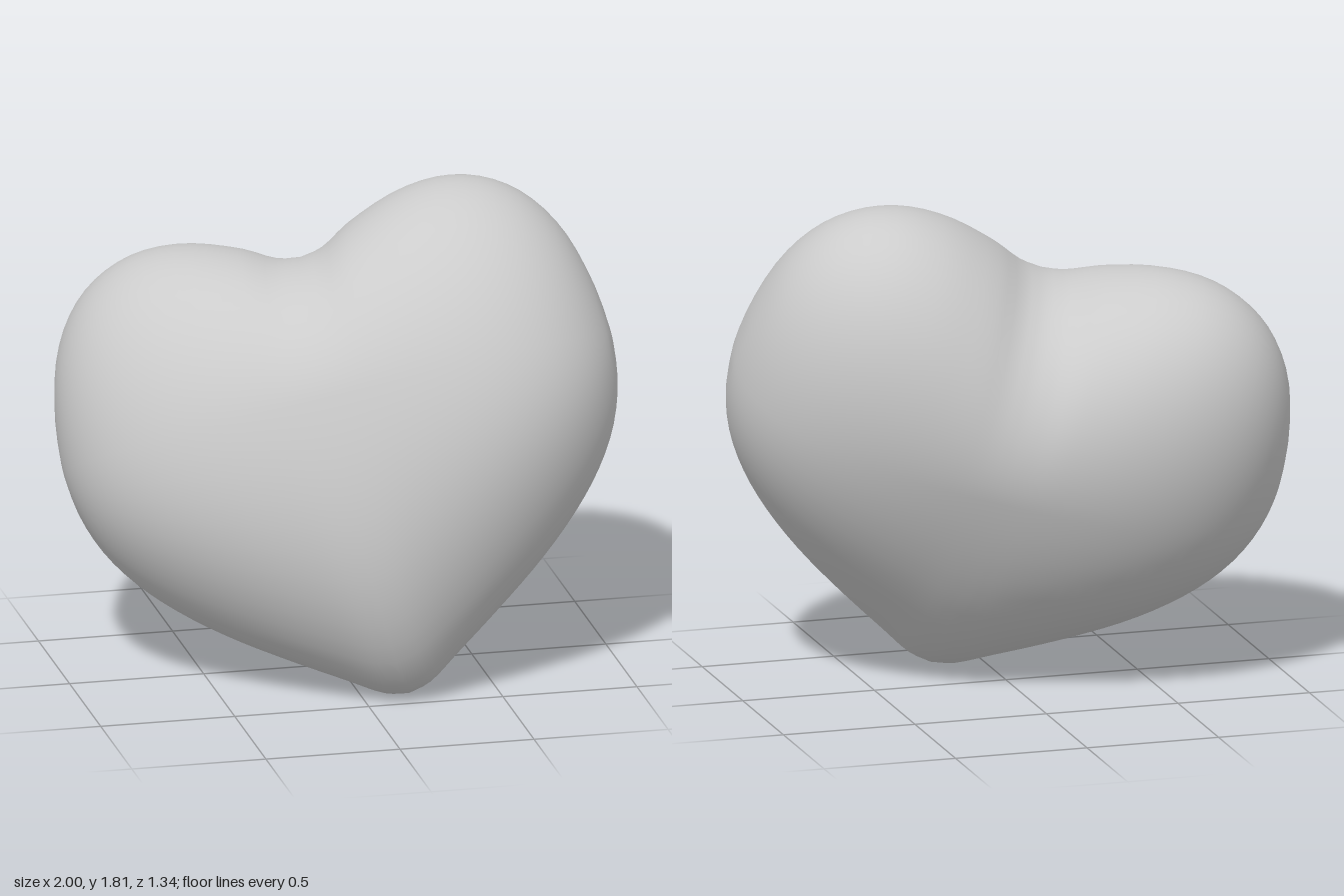
import * as THREE from 'three';
import { mergeVertices } from 'three/addons/utils/BufferGeometryUtils.js';

// Half profile from the middle to the side: distance out, height above centre, drop below it
const HALF_WIDTH = 1.03, HALF_DEPTH = 0.565;
const profile = new THREE.CatmullRomCurve3([
  [0, 0.55, 1.085], [0.09, 0.568, 1.062], [0.21, 0.635, 0.985], [0.394, 0.7, 0.865], [0.572, 0.712, 0.74],
  [0.728, 0.665, 0.61], [0.856, 0.565, 0.475], [0.952, 0.41, 0.33], [1.01, 0.2, 0.17], [HALF_WIDTH, 0, 0],
].map((p) => new THREE.Vector3(...p)), false, 'catmullrom');

function heartGeometry() {
  // Sphere whose poles become the left and right sides; each ring is one cross-section
  const geo = new THREE.SphereGeometry(1, 56, 56);
  const pos = geo.attributes.position, uv = geo.attributes.uv;
  for (let i = 0; i < pos.count; i++) {
    const across = 2 * uv.getY(i) - 1;
    const { x: out, y: rise, z: drop } = profile.getPoint(Math.min(1, Math.abs(across)));
    const depth = HALF_DEPTH * Math.sqrt(Math.max(0, 1 - (out / HALF_WIDTH) ** 3));
    const angle = uv.getX(i) * Math.PI * 2;
    const s = Math.sin(angle);
    // Lower half narrows slightly towards the tip
    const taper = s < 0 ? 1 - 0.17 * s ** 4 : 1;
    pos.setXYZ(i, Math.sign(across) * out, s * (s > 0 ? rise : drop), -Math.cos(angle) * depth * taper);
  }

  // Lean the heart sideways and back
  const side = new THREE.Vector3(0.94, 0.255, 0.215).normalize();
  const front = side.clone().cross(new THREE.Vector3(-0.14, 0.905, -0.4)).normalize();
  const up = front.clone().cross(side);
  geo.applyMatrix4(new THREE.Matrix4().makeBasis(side, up, front).setPosition(0, 0.995, -0.005));

  // Weld the seam so shading is smooth all round
  geo.deleteAttribute('uv');
  geo.deleteAttribute('normal');
  const welded = mergeVertices(geo, 1e-4);
  welded.computeVertexNormals();
  return welded;
}

export function createModel() {
  const group = new THREE.Group();
  group.name = 'heart';
  const body = new THREE.Mesh(heartGeometry(), new THREE.MeshStandardMaterial({ color: 0xcccccc }));
  body.name = 'heartBody';
  group.add(body);
  return group;
}
